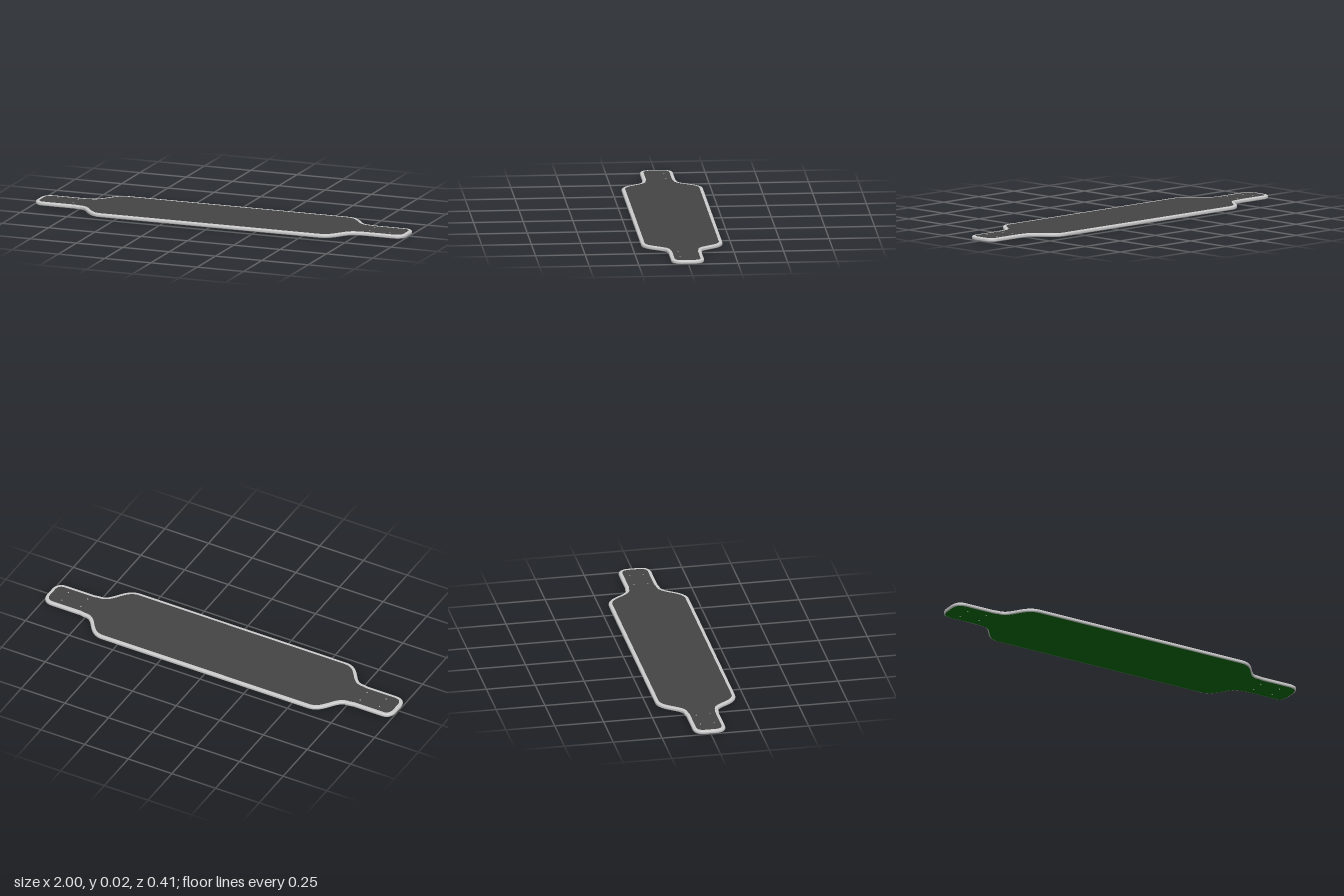
import * as THREE from 'three';

const THICK = 0.018, ROUND = 0.006, BORDER = 0.018, HOLE = 0.004;
const holeSpots = [];
for (const x of [-0.91, -0.8, 0.8, 0.91]) for (const z of [-0.035, 0.035]) holeSpots.push([x, z]);

// Deck outline: one quarter, mirrored to all four
function deckOutline() {
  const p = new THREE.Path();
  p.moveTo(1, 0);
  p.lineTo(1, 0.025);
  p.bezierCurveTo(1, 0.055, 0.985, 0.083, 0.945, 0.083);
  p.lineTo(0.79, 0.083);
  p.bezierCurveTo(0.775, 0.083, 0.77, 0.088, 0.75, 0.088);
  p.bezierCurveTo(0.69, 0.088, 0.68, 0.205, 0.59, 0.205);
  p.lineTo(0, 0.205);
  const q = p.getPoints(16);
  const mirrored = q.map(v => new THREE.Vector2(-v.x, v.y)).reverse();
  const half = [...q.slice(0, -1), ...mirrored.slice(0, -1)];
  return [...half, ...half.map(v => new THREE.Vector2(-v.x, -v.y))];
}

// Move every outline point inwards by d
function inset(points, d) {
  const n = points.length;
  return points.map((p, i) => {
    const a = p.clone().sub(points[(i + n - 1) % n]).normalize();
    const b = points[(i + 1) % n].clone().sub(p).normalize();
    const t = a.add(b).normalize();
    return new THREE.Vector2(p.x - t.y * d, p.y + t.x * d);
  });
}

// Flat sheet with the bolt holes cut out
function sheet(points, up) {
  const shape = new THREE.Shape(points);
  for (const [x, z] of holeSpots) {
    const hole = new THREE.Path();
    hole.absarc(x, z, HOLE, 0, Math.PI * 2, true);
    shape.holes.push(hole);
  }
  return new THREE.ShapeGeometry(shape, 8).rotateX(up ? -Math.PI / 2 : Math.PI / 2);
}

// Rounded rim lofted through [inset, height] rings, from top to bottom
function rimGeometry(outline, rings) {
  const pos = [], idx = [], n = outline.length;
  for (const [d, y] of rings) for (const p of inset(outline, d)) pos.push(p.x, y, p.y);
  for (let k = 0; k < rings.length - 1; k++) {
    for (let i = 0; i < n; i++) {
      const j = (i + 1) % n, a = k * n + i, b = k * n + j;
      idx.push(a, b, a + n, b, b + n, a + n);
    }
  }
  const g = new THREE.BufferGeometry();
  g.setAttribute('position', new THREE.Float32BufferAttribute(pos, 3));
  g.setIndex(idx);
  g.computeVertexNormals();
  return g;
}

export function createModel() {
  const group = new THREE.Group();
  group.name = 'longboardDeck';
  const add = (name, geometry, material) => {
    const mesh = new THREE.Mesh(geometry, material);
    mesh.name = name;
    group.add(mesh);
    return mesh;
  };
  const wood = new THREE.MeshStandardMaterial({ color: 0xcccccc, side: THREE.DoubleSide });
  const grip = new THREE.MeshStandardMaterial({ color: 0x444444 });
  const green = new THREE.MeshStandardMaterial({ color: 0x086808 });
  const outline = deckOutline();

  // Rim: flat top border, rounded edges, straight side
  const rings = [[BORDER, THICK]];
  const corner = (angle, y) => [ROUND * (1 - Math.cos(angle)), y + ROUND * Math.sin(angle)];
  for (let i = 4; i >= 0; i--) rings.push(corner(i * Math.PI / 8, THICK - ROUND));
  for (let i = 0; i <= 4; i++) rings.push(corner(-i * Math.PI / 8, ROUND));
  add('rim', rimGeometry(outline, rings), wood);

  // Grip surface on top, painted underside below
  add('gripSurface', sheet(inset(outline, BORDER), true), grip).position.y = THICK;
  add('underside', sheet(inset(outline, ROUND), false), green);

  // Walls of the truck bolt holes
  const wall = new THREE.CylinderGeometry(HOLE, HOLE, THICK, 16, 1, true);
  for (const [x, z] of holeSpots) add('boltHole', wall, wood).position.set(x, THICK / 2, z);

  return group;
}
